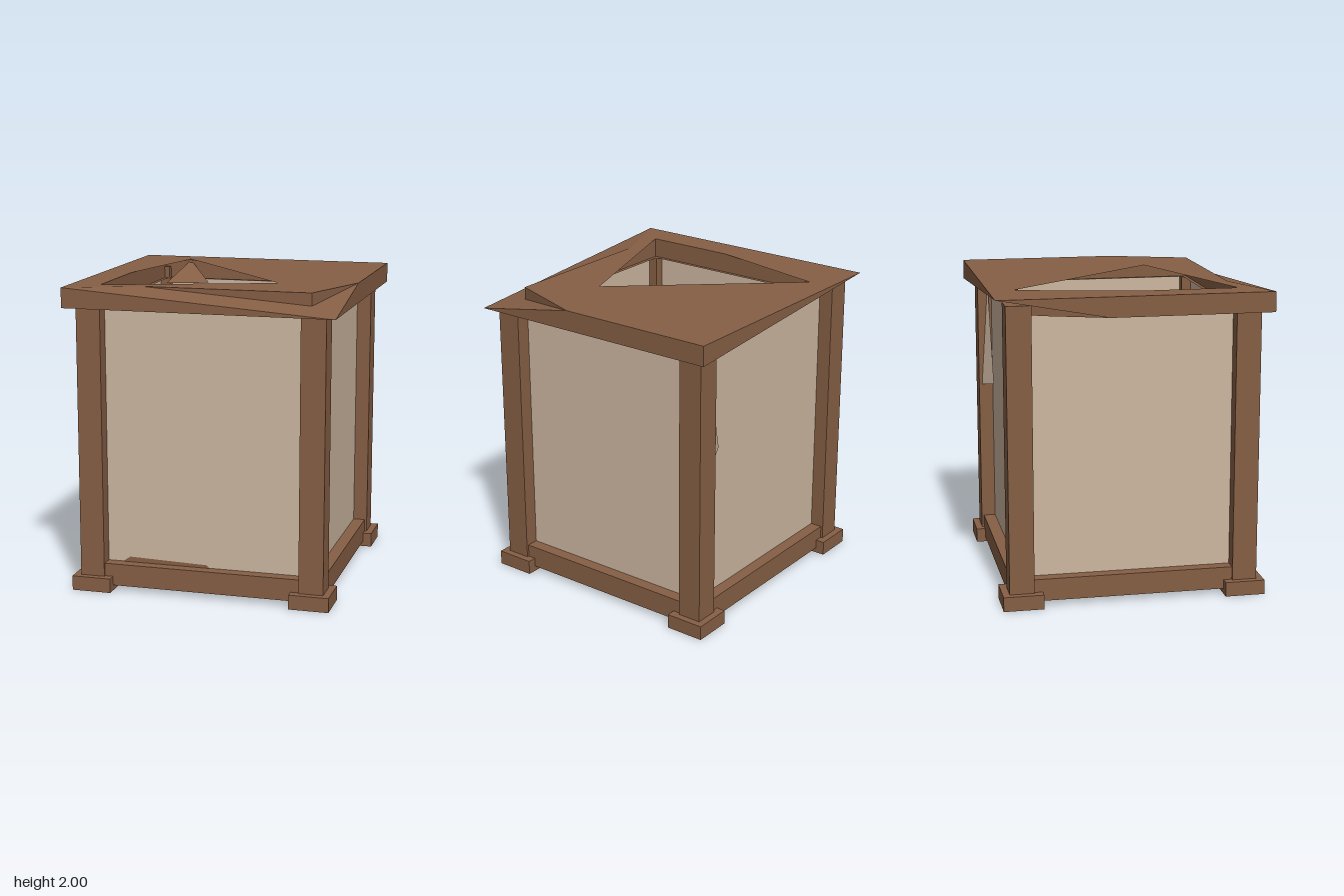
import * as THREE from 'three';

const wood = new THREE.MeshStandardMaterial({ color: 0x865f45, side: THREE.DoubleSide });
wood.name = 'brown wood';
const paper = new THREE.MeshStandardMaterial({ color: 0xcdb7a1, side: THREE.DoubleSide });
paper.name = 'beige paper';

const TOP = 2, UNDER = 1.87, MID = (TOP + UNDER) / 2;

function addMesh(parent, name, geometry, material) {
  const mesh = new THREE.Mesh(geometry, material);
  mesh.name = name;
  parent.add(mesh);
  return mesh;
}

function box(parent, name, material, w, h, d, x, y, z) {
  const mesh = addMesh(parent, name, new THREE.BoxGeometry(w, h, d), material);
  mesh.position.set(x, y, z);
  return mesh;
}

// Flat faces, each given as a convex loop of corners
function facets(parent, name, material, faces) {
  const points = [];
  for (const f of faces)
    for (let i = 1; i < f.length - 1; i++) points.push(...f[0], ...f[i], ...f[i + 1]);
  const g = new THREE.BufferGeometry();
  g.setAttribute('position', new THREE.Float32BufferAttribute(points, 3));
  g.computeVertexNormals();
  return addMesh(parent, name, g, material);
}

// Horizontal sheet from an [x, z] outline with a hole
function sheet(parent, name, material, outline, hole, y) {
  const toPoints = (list) => list.map(([x, z]) => new THREE.Vector2(x, -z));
  const shape = new THREE.Shape(toPoints(outline));
  shape.holes.push(new THREE.Path(toPoints(hole)));
  const g = new THREE.ShapeGeometry(shape).rotateX(-Math.PI / 2).translate(0, y, 0);
  return addMesh(parent, name, g, material);
}

function makeRoof() {
  const roof = new THREE.Group();
  roof.name = 'roof';
  const R = 0.88, I = 0.69;

  // Top with its broken opening, and the underside frame
  const outline = [[-R, -R], [R, -R], [R, 0.17], [I, I], [-0.41, I], [-R, R]];
  sheet(roof, 'roofTop', wood, outline,
    [[-0.51, -0.72], [0.385, 0.315], [-0.685, 0.685], [-0.685, 0.09]], TOP);
  const s = 0.66;
  sheet(roof, 'roofUnderside', wood, outline.map(([x, z]) => [-x, -z]),
    [[-s, -s], [s, -s], [s, s], [-s, s]], UNDER);

  // Sunken corner on top; the opposite corner underneath is its inverse
  const a = [-R, TOP, R], b = [R, TOP, 0.17], c = [R, UNDER, R];
  const p1 = [-0.41, TOP, I], p2 = [I, 1.918, I], p3 = [I, TOP, I];
  const dip = [[a, c, p2, p1], [c, b, p2], [p1, p2, p3], [p3, p2, b]];
  facets(roof, 'sunkenCorner', wood, dip);
  const invert = ([x, y, z]) => [-x, 2 * MID - y, -z];
  facets(roof, 'raisedUnderCorner', wood, dip.map((f) => f.map(invert)));

  // Edge boards, tapering towards the two bent corners
  const d = [R, TOP, -R], e = [-R, TOP, -R];
  const aLow = [-R, UNDER, R], dLow = [R, UNDER, -R];
  facets(roof, 'roofEdge', wood, [
    [a, aLow, c], [c, dLow, d, b], [d, dLow, e], [e, invert(b), aLow, a],
  ]);

  // Inner lining and the bent splinter inside the opening
  for (let i = 0; i < 4; i++) {
    const wall = addMesh(roof, 'roofLining', new THREE.PlaneGeometry(2 * I, TOP - UNDER)
      .translate(0, MID, I - 0.003), wood);
    wall.rotation.y = i * Math.PI / 2;
  }
  facets(roof, 'roofSplinter', wood, [
    [[-0.51, 1.995, -0.72], [-0.31, UNDER, -0.48], [-0.59, UNDER, -0.39]],
  ]);
  return roof;
}

export function createModel() {
  const model = new THREE.Group();
  model.name = 'paperLantern';
  const lantern = new THREE.Group();
  lantern.name = 'lantern';
  lantern.rotation.y = 0.017;
  model.add(lantern);

  // Base and paper floor
  box(lantern, 'base', wood, 1.59, 0.145, 1.59, 0, 0.1125, 0);
  box(lantern, 'paperFloor', paper, 1.42, 0.006, 1.42, 0, 0.188, 0);

  // Corner posts and feet
  for (const sx of [-1, 1]) {
    for (const sz of [-1, 1]) {
      const top = sx < 0 && sz < 0 ? 1.95 : UNDER;
      box(lantern, 'post', wood, 0.16, top - 0.05, 0.16, sx * 0.73, (top + 0.05) / 2, sz * 0.73);
      box(lantern, 'foot', wood, 0.26, 0.095, 0.26, sx * 0.725, 0.0525, sz * 0.725);
    }
  }

  // Four recessed paper panels
  for (let i = 0; i < 4; i++) {
    const panel = addMesh(lantern, 'paperPanel',
      new THREE.PlaneGeometry(1.42, UNDER - 0.185).translate(0, (UNDER + 0.185) / 2, 0.715), paper);
    panel.rotation.y = i * Math.PI / 2;
  }

  // Loose paper flap at the back and a splinter on the front rail
  facets(lantern, 'paperFlap', paper, [
    [[0.648, UNDER, -0.74], [0.648, 1.15, -0.79], [0.5, 1.18, -0.725]],
  ]);
  facets(lantern, 'railSplinter', wood, [
    [[-0.55, 0.185, 0.72], [0.04, 0.185, 0.72], [0.02, 0.205, 0.72], [-0.5, 0.22, 0.72]],
  ]);

  lantern.add(makeRoof());
  return model;
}
